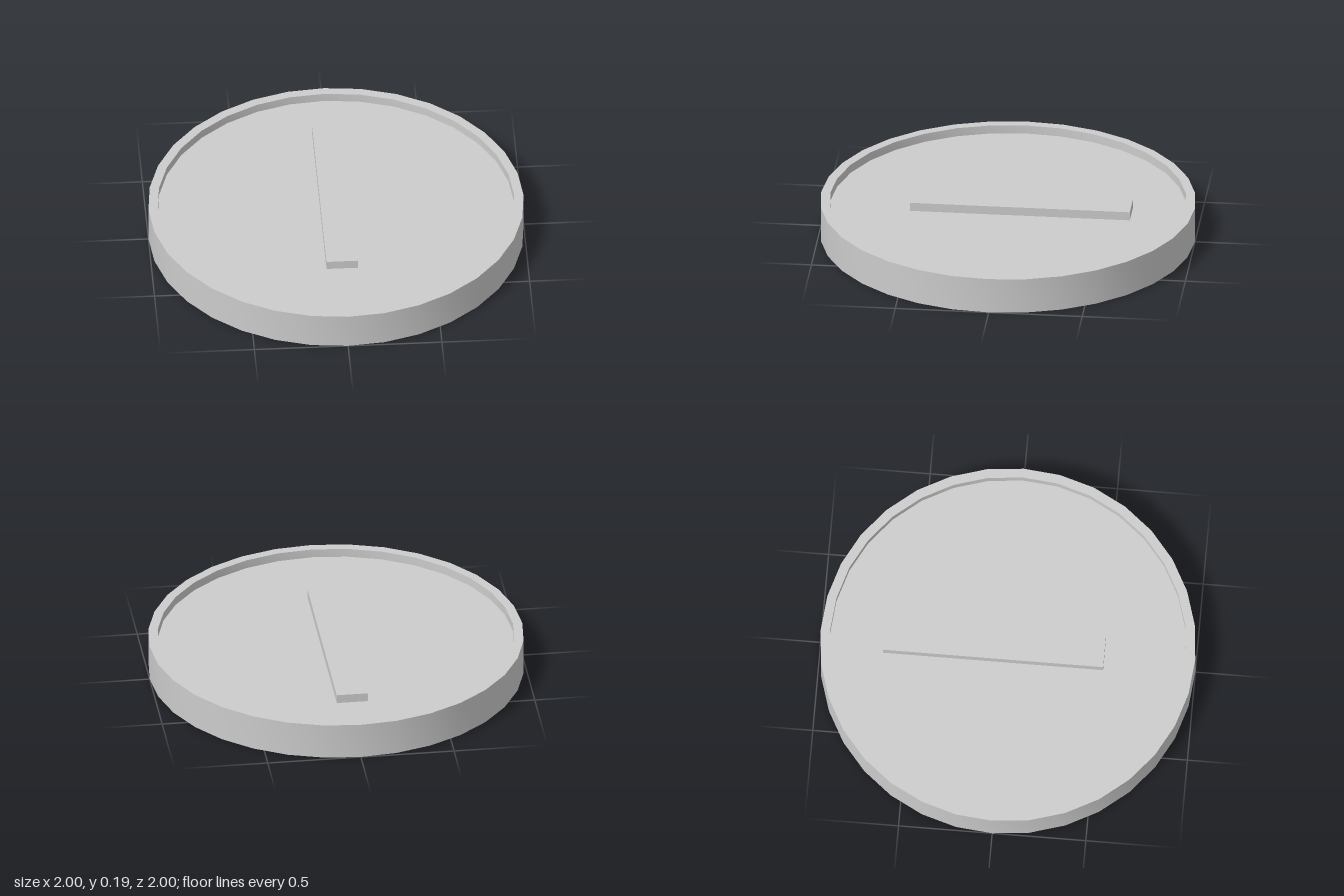
import * as THREE from 'three';
import { toCreasedNormals } from 'three/addons/utils/BufferGeometryUtils.js';

const HEIGHT = 0.195;   // full thickness at the rim
const RECESS = 0.047;   // depth of the sunken field on both faces
const INNER = 0.95;     // inner radius of the raised rim
const SIDES = 32;

export function createModel() {
  const group = new THREE.Group();
  group.name = 'coin';
  const material = new THREE.MeshStandardMaterial({ color: 0xcccccc });

  // Disc with a raised rim on both faces, profile from bottom centre to top centre
  const profile = [
    [0, RECESS], [INNER, RECESS], [INNER, 0], [1, 0],
    [1, HEIGHT], [INNER, HEIGHT], [INNER, HEIGHT - RECESS], [0, HEIGHT - RECESS],
  ].map(([r, y]) => new THREE.Vector2(r, y));
  const discGeometry = toCreasedNormals(new THREE.LatheGeometry(profile, SIDES), Math.PI / 6);
  const disc = new THREE.Mesh(discGeometry, material);
  disc.name = 'rimmedDisc';
  group.add(disc);

  // Raised bar, flush with the rim on both faces and set slightly towards the back
  const zBack = -0.66, zFront = 0.515;
  const bar = new THREE.Mesh(new THREE.BoxGeometry(0.168, HEIGHT, zFront - zBack), material);
  bar.position.set(0, HEIGHT / 2, (zBack + zFront) / 2);
  bar.name = 'raisedBar';
  group.add(bar);

  return group;
}
